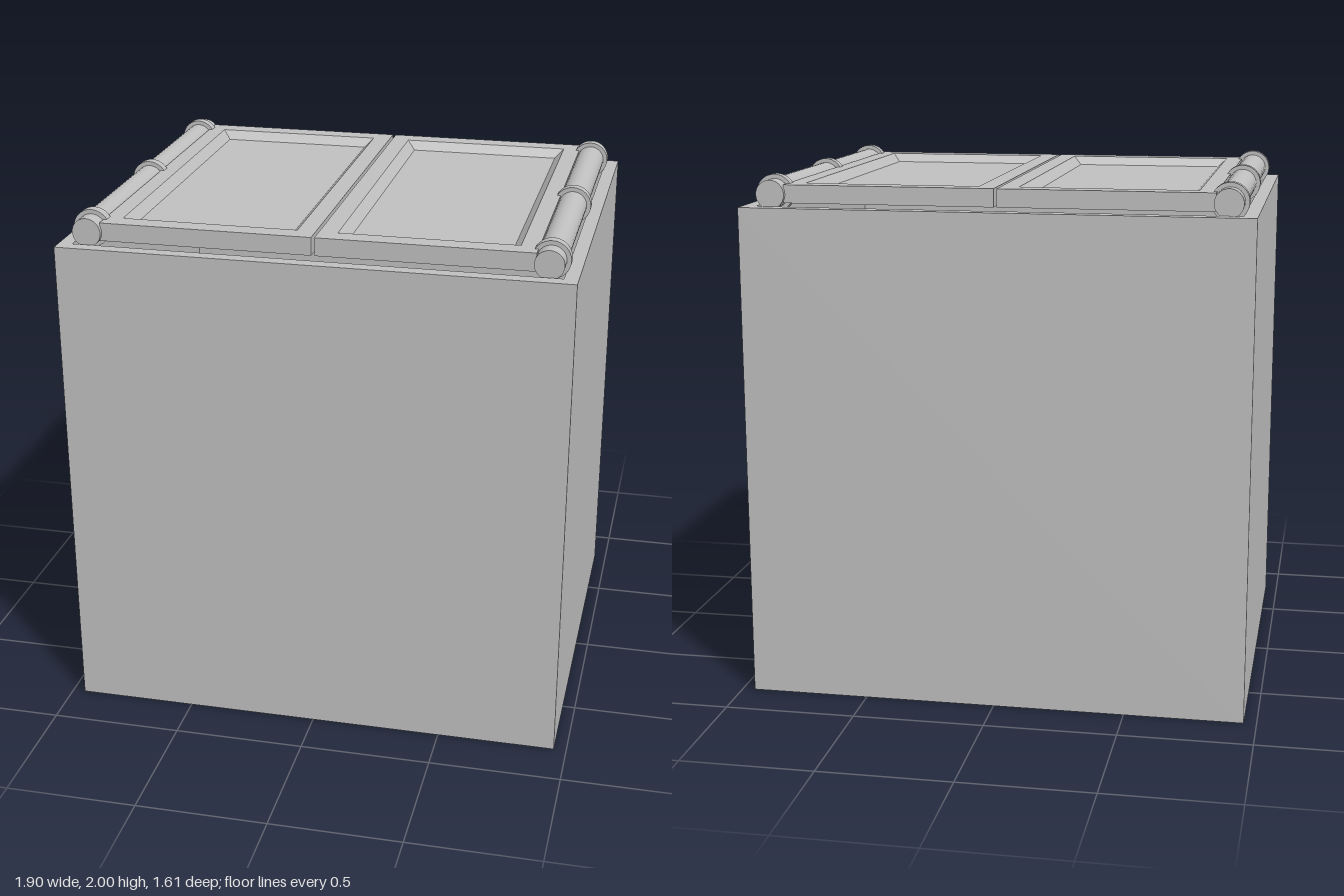
import * as THREE from 'three';

const metal = new THREE.MeshStandardMaterial({ color: 0xc0c0c0 });
metal.name = 'plain grey';

function add(parent, geometry, name, x = 0, y = 0, z = 0) {
  const mesh = new THREE.Mesh(geometry, metal);
  mesh.name = name;
  mesh.position.set(x, y, z);
  parent.add(mesh);
  return mesh;
}

// Flat-faced solid through a stack of rectangles [x0, x1, z0, z1, y], capped at both ends
function loftRectangles(rects) {
  const loops = rects.map(([x0, x1, z0, z1, y]) =>
    [[x0, y, z0], [x0, y, z1], [x1, y, z1], [x1, y, z0]]);
  const positions = [];
  const quad = (a, b, c, d) => positions.push(...a, ...b, ...c, ...a, ...c, ...d);
  for (let k = 0; k < loops.length - 1; k++) {
    for (let i = 0; i < 4; i++) {
      const j = (i + 1) % 4;
      quad(loops[k][i], loops[k][j], loops[k + 1][j], loops[k + 1][i]);
    }
  }
  quad(...[...loops[0]].reverse());
  quad(...loops[loops.length - 1]);
  const geometry = new THREE.BufferGeometry();
  geometry.setAttribute('position', new THREE.Float32BufferAttribute(positions, 3));
  geometry.computeVertexNormals();
  return geometry;
}

function rectangle(PathType, w, d) {
  return new PathType([
    new THREE.Vector2(-w, -d), new THREE.Vector2(w, -d),
    new THREE.Vector2(w, d), new THREE.Vector2(-w, d),
  ]);
}

export function createModel() {
  const model = new THREE.Group();
  model.name = 'lidded bin';

  // Open-topped box: four walls around a floor
  const W = 0.952, D = 0.807, H = 1.887, T = 0.052;
  const outline = rectangle(THREE.Shape, W, D);
  outline.holes.push(rectangle(THREE.Path, W - T, D - T));
  const walls = new THREE.ExtrudeGeometry(outline, { depth: H, bevelEnabled: false });
  walls.rotateX(-Math.PI / 2);
  add(model, walls, 'walls');
  add(model, new THREE.BoxGeometry(2 * (W - T), T, 2 * (D - T)), 'floor', 0, T / 2, 0);

  // One lid and its hinge on each side
  for (const side of [1, -1]) {
    const half = new THREE.Group();
    half.name = side > 0 ? 'leftLid' : 'rightLid';

    // Lid panel with a sunken, bevelled field
    const top = 1.966;
    add(half, loftRectangles([
      [0.006, 0.80, -0.732, 0.732, 1.898],
      [0.006, 0.80, -0.732, 0.732, top],
      [0.075, 0.735, -0.657, 0.657, top],
      [0.108, 0.702, -0.625, 0.625, top - 0.033],
    ]), 'lidPanel');

    // Hinge tube with three collars
    const x = 0.847, y = 1.93;
    const tube = new THREE.CylinderGeometry(0.054, 0.054, 1.496, 32).rotateX(Math.PI / 2);
    add(half, tube, 'hingeTube', x, y, 0);
    for (const z of [-0.667, 0, 0.667]) {
      const collar = new THREE.CylinderGeometry(0.07, 0.07, 0.038, 32).rotateX(Math.PI / 2);
      add(half, collar, 'hingeCollar', x, y, z);
    }
    // Turn rather than mirror: both halves are symmetric front to back
    if (side < 0) half.rotation.y = Math.PI;
    model.add(half);
  }
  return model;
}
